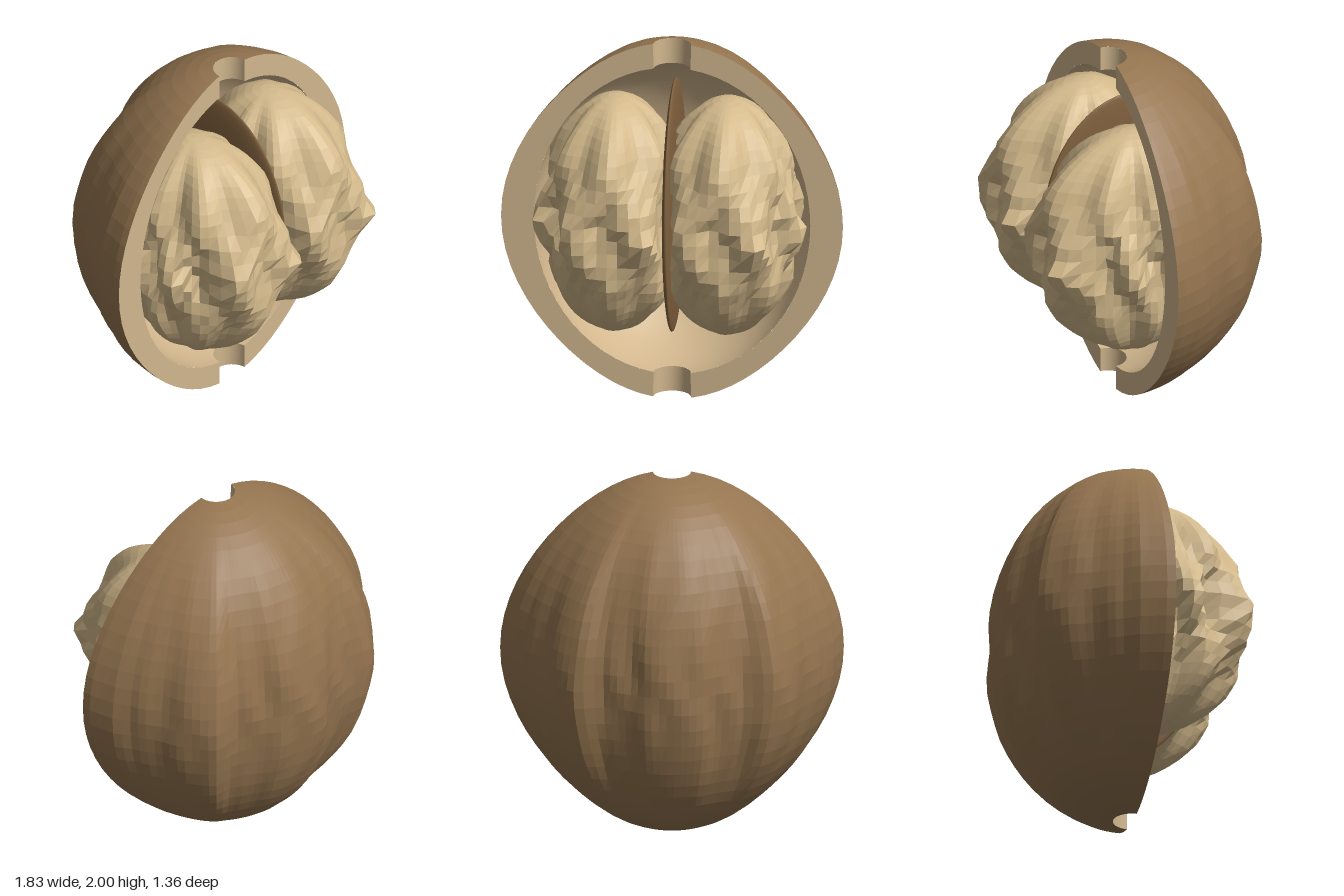
import * as THREE from 'three';

const shellBrown = new THREE.MeshStandardMaterial({ color: 0x957550 });
const shellTan = new THREE.MeshStandardMaterial({ color: 0xd2b78e });
const kernelCream = new THREE.MeshStandardMaterial({ color: 0xd4ba8c });
const dividerBrown = new THREE.MeshStandardMaterial({ color: 0x80603d });

const CUT = 0.09; // z of the flat cut; the shell axis lies in it

// Surface over u (left to right) and v (top to bottom), optionally faceted
function grid(fn, nu, nv, faceted) {
  const pos = [], index = [];
  for (let j = 0; j <= nv; j++)
    for (let i = 0; i <= nu; i++) pos.push(...fn(i / nu, j / nv, i, j));
  for (let j = 0; j < nv; j++)
    for (let i = 0; i < nu; i++) {
      const a = j * (nu + 1) + i, b = a + nu + 1;
      index.push(a, b, a + 1, a + 1, b, b + 1);
    }
  let g = new THREE.BufferGeometry();
  g.setAttribute('position', new THREE.Float32BufferAttribute(pos, 3));
  g.setIndex(index);
  if (faceted) g = g.toNonIndexed();
  g.computeVertexNormals();
  return g;
}

// Smooth lookup in an evenly spaced table, t from 0 to 1
function lookup(table, t) {
  const f = Math.min(Math.max(t, 0), 1) * (table.length - 1);
  const i = Math.min(Math.floor(f), table.length - 2), k = f - i;
  return THREE.MathUtils.lerp(table[i], table[i + 1], k * k * (3 - 2 * k));
}

// Repeatable noise from 0 to 1
function hash(i, j) {
  const s = Math.sin(i * 127.1 + j * 311.7) * 43758.5453;
  return s - Math.floor(s);
}

// Shell radius at the equator, from the back round to the cut edge
const SHELL = [0.77, 0.77, 0.73, 0.745, 0.845, 0.84, 0.815, 0.84, 0.885, 0.915];

// Ridged outer surface; the ridges fade towards both poles
function outer(u, v) {
  const th = 0.13 + v * (Math.PI - 0.26), s = Math.sin(th), a = u * Math.PI;
  const y = 1.0085 * Math.cos(th);
  const wobble = 0.025 * Math.sin(6 * y + 4 * a) * s * Math.sin(a);
  const R = lookup(SHELL, Math.abs(a - Math.PI / 2 + wobble) / (Math.PI / 2));
  const fine = 0.008 * Math.sin(a * 17 + 2 * Math.sin(y * 7)) * Math.sin(a);
  const r = s * (0.78 + (R - 0.78 + fine) * s ** 2.6);
  return [Math.cos(a) * r, 1 + y, CUT - Math.sin(a) * r];
}

// Smooth hollow, shallower at the back
function inner(u, v) {
  const th = 0.135 + v * (Math.PI - 0.27), s = Math.sin(th), a = u * Math.PI;
  const r = s * (0.74 - 0.13 * Math.sin(a) ** 2 * s * s);
  return [Math.cos(a) * r, 1 + 0.868 * Math.cos(th), CUT - Math.sin(a) * r];
}

const mix = (p, q, t) => p.map((c, i) => c + (q[i] - c) * t);

// Wrinkled kernel half: ribbed domes at the ends, jagged folds round the
// middle, and a flatter wall on the side facing the divider
const KN = 56;
function lobe(side, u, v, i, j) {
  const a = u * Math.PI * 2, s = Math.sin(v * Math.PI), y = 0.66 * Math.cos(v * Math.PI);
  const rough = s ** 8, flip = 1 - 2 * s ** 12;
  const sx = Math.sin(a), cz = Math.cos(a);
  const front = y < 0 ? 0.55 - 0.05 * (1 - rough) : 0.55;
  const base = 1 / Math.hypot(sx / 0.365, cz / (cz > 0 ? front : 0.43));
  const zig = 0.25 * Math.sin(y * 9) + 0.9 * (hash(7, j) - 0.5) * rough;
  const fold = (cz > -0.3 ? 0.08 : 0.04) * s ** 1.5 * flip * Math.cos(8 * a + zig);
  let r = s * (base + fold);
  if (sx * side < 0) r = Math.min(r, 0.28 / Math.abs(sx));
  r += (hash(i % KN, j) - 0.5) * 0.05 * rough;
  return [sx * r, y, cz * r];
}

export function createModel() {
  const model = new THREE.Group();
  const add = (name, geometry, material, parent = model) => {
    const m = new THREE.Mesh(geometry, material);
    m.name = name;
    parent.add(m);
    return m;
  };

  // Half shell: outside, hollow, flat cut rim and the two pole notches
  const shell = new THREE.Group();
  shell.name = 'halfShell';
  model.add(shell);
  add('shellOutside', grid(outer, 60, 30, true), shellBrown, shell);
  add('shellHollow', grid((u, v) => inner(1 - u, v), 40, 32), shellTan, shell);
  add('leftCutRim', grid((u, v) => mix(inner(0, v), outer(0, v), u), 1, 30), shellTan, shell);
  add('rightCutRim', grid((u, v) => mix(outer(1, v), inner(1, v), u), 1, 30), shellTan, shell);
  add('topNotch', grid((u, v) => mix(outer(1 - u, 0), inner(1 - u, 0), v), 20, 1), shellTan, shell);
  add('bottomNotch', grid((u, v) => mix(inner(1 - u, 1), outer(1 - u, 1), v), 20, 1), shellTan, shell);

  // Two kernel halves
  for (const [name, side] of [['leftKernel', 1], ['rightKernel', -1]]) {
    const geometry = grid((u, v, i, j) => lobe(side, u, v, i, j), KN, 28, true);
    add(name, geometry, kernelCream).position.set(side * 0.3, 1.05, CUT);
  }

  // Thin divider between the halves
  const divider = add('divider', new THREE.SphereGeometry(1, 32, 24), dividerBrown);
  divider.scale.set(0.042, 0.7, 0.5);
  divider.position.set(0, 1.05, -0.03);

  return model;
}
